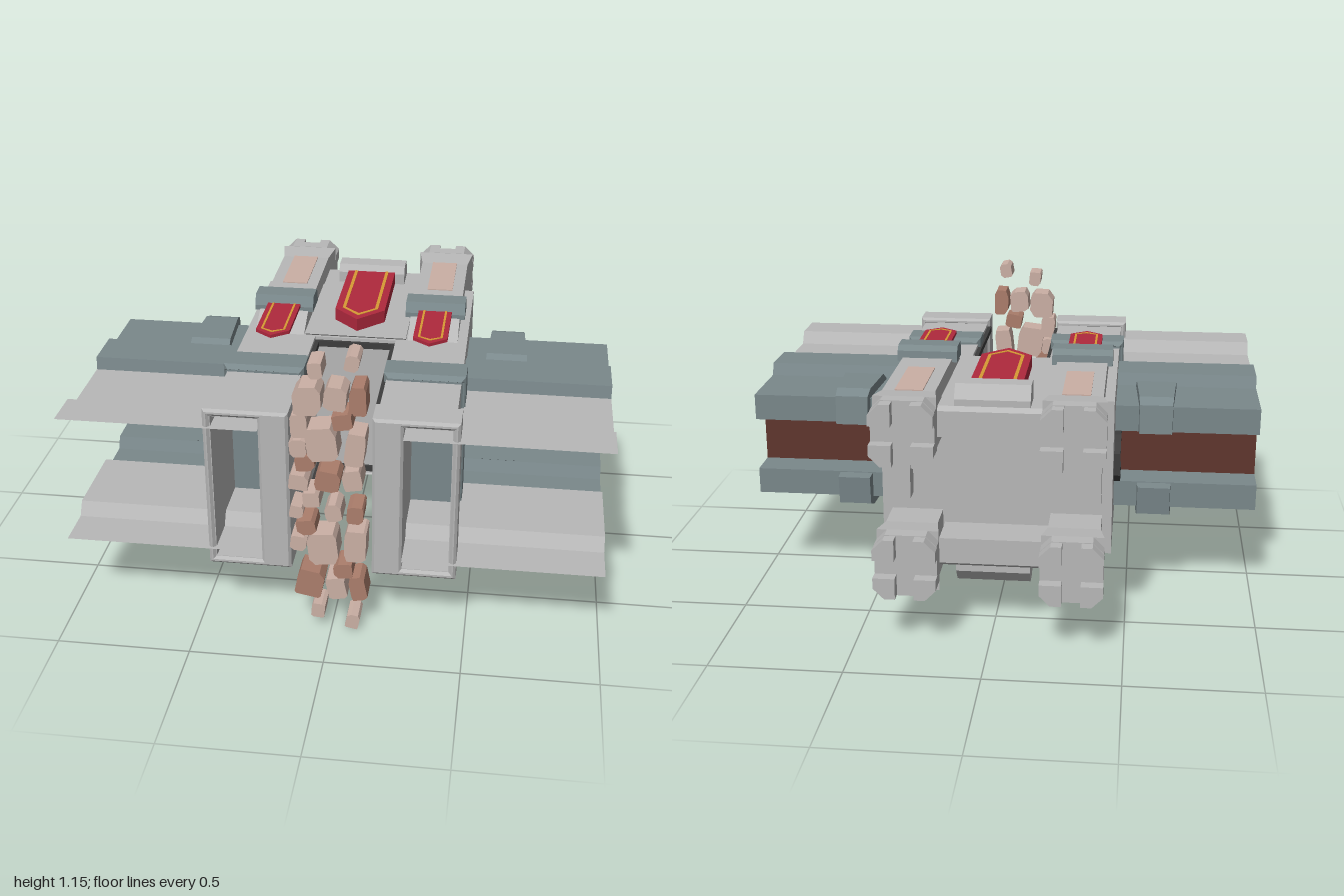
import * as THREE from 'three';

const mat = (name, color) => {
  const m = new THREE.MeshStandardMaterial({ color, side: THREE.DoubleSide });
  m.name = name;
  return m;
};

export function createModel() {
  const stone = mat('light stone', 0xb8b8b8);
  const slate = mat('slate', 0x7a888b);
  const wood = mat('brown wood', 0x60362d);
  const iron = mat('dark iron', 0x3d3d3d);
  const red = mat('banner red', 0xb0293d);
  const gold = mat('banner gold', 0xd89a35);
  const pink = mat('pale brick', 0xcbb0a5);
  const clay = mat('clay brick', 0xac7e6c);

  const add = (parent, name, geo, m) => {
    const mesh = new THREE.Mesh(geo, m);
    mesh.name = name;
    parent.add(mesh);
    return mesh;
  };
  const group = (parent, name) => {
    const g = new THREE.Group();
    g.name = name;
    parent.add(g);
    return g;
  };
  const shape = (pts) => new THREE.Shape(pts.map(([a, b]) => new THREE.Vector2(a, b)));
  const extrude = (s, depth, opts = {}) =>
    new THREE.ExtrudeGeometry(s, { depth, bevelEnabled: false, ...opts });
  const box = (x0, x1, y0, y1, z0, z1) =>
    new THREE.BoxGeometry(x1 - x0, y1 - y0, z1 - z0).translate((x0 + x1) / 2, (y0 + y1) / 2, (z0 + z1) / 2);
  // A (z, y) section pushed along x
  const prismS = (s, x0, x1) => extrude(s, x1 - x0).rotateY(-Math.PI / 2).translate(x1, 0, 0);
  const prism = (pts, x0, x1) => prismS(shape(pts), x0, x1);
  // An open (z, y) line swept along x as a thin sheet
  const sheet = (pts, x0, x1) => {
    const pos = [];
    for (let i = 0; i + 1 < pts.length; i++) {
      const [z0, y0] = pts[i], [z1, y1] = pts[i + 1];
      pos.push(x0, y0, z0, x1, y0, z0, x1, y1, z1, x0, y0, z0, x1, y1, z1, x0, y1, z1);
    }
    const g = new THREE.BufferGeometry();
    g.setAttribute('position', new THREE.Float32BufferAttribute(pos, 3));
    g.computeVertexNormals();
    return g;
  };
  // Hollow bevelled collar round a gate leg
  const collar = (x0, x1, z, y0, y1, b) => {
    const s = shape([[x0, -z], [x1, -z], [x1, z], [x0, z]]);
    s.holes.push(shape([[0.26, -0.297], [0.26, 0.297], [0.435, 0.297], [0.435, -0.297]]));
    return extrude(s, y1 - y0 - 2 * b, {
      bevelEnabled: true, bevelSegments: 1, bevelSize: b, bevelThickness: b, bevelOffset: -b,
    }).rotateX(-Math.PI / 2).translate(0, y0 + b, 0);
  };
  // Pointed banner with an inset gold border
  const banner = (parent, name, cx, half, top, shoulder, tip, z0, z1) => {
    const g = group(parent, name);
    const outline = (i) => [[cx - half + i, top], [cx - half + i, shoulder + i * 0.3], [cx, tip + i * 1.4],
      [cx + half - i, shoulder + i * 0.3], [cx + half - i, top]];
    add(g, 'cloth', extrude(shape(outline(0)), z1 - z0).translate(0, 0, z0), red);
    const a = outline(half * 0.28), b = outline(half * 0.41);
    add(g, 'border', extrude(shape([...a, ...b.reverse()]), 0.002).translate(0, 0, z1), gold);
  };

  const model = new THREE.Group();
  model.name = 'gatehouse';
  // Built upright, then laid on its back
  const gate = group(model, 'gate');
  gate.rotation.x = -Math.PI / 2;
  gate.position.y = 0.575;

  // Middle: passage lintel and roof
  add(gate, 'passageFloor', box(-0.26, 0.26, -0.08, 0.07, -0.3, 0.3), stone);
  add(gate, 'roof', box(-0.435, 0.435, 0.45, 0.46, -0.297, 0.297), stone);

  // One side: wall, tower leg and doorway
  const side = group(gate, 'rightSide');
  add(side, 'legInnerWall', box(0.16, 0.26, -0.77, -0.08, -0.3, 0.3), stone);
  add(side, 'legPlinth', collar(0.15, 0.46, 0.325, -0.78, -0.65, 0.01), stone);
  add(side, 'legBand', collar(0.15, 0.457, 0.33, -0.43, -0.29, 0.017), slate);
  const doorway = [[0.07, 0.07], [0.07, 0.22], [0.055, 0.255], [0.03, 0.275]];
  const flip = (pts) => pts.map(([z, y]) => [-z, y]).reverse();
  const flank = shape([[-0.305, -0.77], [0.305, -0.77], [0.305, 0.46], [-0.305, 0.46]]);
  flank.holes.push(shape([...doorway, ...flip(doorway)]));
  add(side, 'towerFlank', prismS(flank, 0.432, 0.44), stone);
  const rimOut = [[0.097, 0.01], [0.097, 0.225], [0.08, 0.268], [0.045, 0.303]];
  const rimIn = [[0.07, 0.01], ...doorway.slice(1)];
  add(side, 'doorRim', prism([...rimOut, ...flip(rimOut), ...flip(rimIn).reverse(), ...rimIn.slice().reverse()], 0.43, 0.465), iron);
  add(side, 'flankMerlon', box(0.32, 0.4, 0.45, 0.53, -0.08, 0.085), stone);
  add(side, 'walkway', sheet([[0.105, 0.07], [-0.105, 0.07]], 0.26, 1), wood);
  for (const s of [1, -1]) {
    const m = (pts) => pts.map(([z, y]) => [z * s, y]);
    add(side, 'wallFace', sheet(m([[0.255, -0.79], [0.255, -0.632], [0.205, -0.6], [0.205, -0.28]]), 0.26, 1), stone);
    add(side, 'wallParapet', sheet(m([[0.205, -0.28], [0.255, -0.272], [0.255, -0.1], [0.208, -0.08],
      [0.208, 0.2], [0.105, 0.2], [0.105, 0.07]]), 0.43, 1), slate);
    const merlon = prism(m([[0.205, -0.08], [0.245, -0.02], [0.245, 0.19], [0.225, 0.24], [0.112, 0.25],
      [0.108, 0.195], [0.205, 0.18]]), 0.515, 0.68);
    const p = merlon.attributes.position;
    for (let i = 0; i < p.count; i++) // narrows towards the top
      p.setX(i, 0.597 + (p.getX(i) - 0.597) * (1 - 0.7 * (p.getY(i) + 0.08)));
    merlon.computeVertexNormals();
    add(side, 'wallMerlon', merlon, slate);
    add(side, 'gateRail', box(0.143, 0.162, -0.66, -0.08, s * 0.28 - 0.012, s * 0.28 + 0.012), iron);
    add(side, 'gateRailTop', box(0, 0.162, -0.092, -0.075, s * 0.28 - 0.012, s * 0.28 + 0.012), iron);
  }
  const left = side.clone();
  left.name = 'leftSide';
  left.rotation.y = Math.PI;
  gate.add(left);

  // One face: front plate, turrets and banners
  const face = group(gate, 'frontFace');
  add(face, 'facePlate', extrude(shape([[-0.44, -0.77], [-0.16, -0.77], [-0.16, -0.08], [0.16, -0.08], [0.16, -0.77],
    [0.44, -0.77], [0.44, 0.46], [-0.44, 0.46]]), 0.01).translate(0, 0, 0.295), stone);
  add(face, 'centrePanel', prism([[0.2, 0.07], [0.315, -0.08], [0.315, 0.6], [0.3, 0.62], [0.2, 0.62]], -0.2, 0.2), stone);
  add(face, 'bannerMount', prism([[0.3, 0.47], [0.36, 0.47], [0.39, 0.49], [0.39, 0.56], [0.34, 0.6], [0.3, 0.6]], -0.14, 0.14), stone);
  banner(face, 'centreBanner', 0, 0.1, 0.48, 0.07, -0.03, 0.31, 0.366);

  for (const s of [1, -1]) {
    const t = group(face, 'turret');
    const cx = 0.305 * s, cz = 0.258;
    add(t, 'shaft', prism([[0.3, -0.08], [0.355, 0.03], [0.368, 0.06], [0.368, 0.6], [0.148, 0.6],
      [0.148, 0.42], [0.29, 0.42]], cx - 0.098, cx + 0.098), stone);
    const flare = box(-0.098, 0.098, 0.6, 0.7, -0.11, 0.11);
    const p = flare.attributes.position;
    for (let i = 0; i < p.count; i++)
      if (p.getY(i) > 0.65) p.setXYZ(i, p.getX(i) * 1.18, p.getY(i), p.getZ(i) * 1.08);
    flare.computeVertexNormals();
    add(t, 'crownFlare', flare.translate(cx, 0, cz), stone);
    const c = 0.04;
    add(t, 'crownBase', extrude(shape([[-0.116 + c, -0.12], [0.116 - c, -0.12], [0.116, -0.12 + c], [0.116, 0.12 - c],
      [0.116 - c, 0.12], [-0.116 + c, 0.12], [-0.116, 0.12 - c], [-0.116, -0.12 + c]]), 0.055)
      .rotateX(-Math.PI / 2).translate(cx, 0.7, cz), stone);
    for (let k = 0; k < 4; k++) // chamfered corner merlons
      add(t, 'crownMerlon', extrude(shape([[0.035, 0.035], [0.117, 0.035], [0.117, 0.076], [0.076, 0.117], [0.035, 0.117]]), 0.05)
        .rotateX(-Math.PI / 2).rotateY(k * Math.PI / 2).translate(cx, 0.75, cz), stone);
    add(t, 'inlay', box(cx - 0.052, cx + 0.052, 0.3, 0.6, 0.366, 0.372), pink);
    add(t, 'bannerBracket', prism([[0.355, 0.04], [0.375, 0.04], [0.415, 0.06], [0.415, 0.14], [0.395, 0.16], [0.355, 0.165]],
      cx - 0.118, cx + 0.118), slate);
    banner(t, 'sideBanner', cx, 0.066, 0.06, -0.21, -0.26, 0.372, 0.385);
  }
  const back = face.clone();
  back.name = 'backFace';
  back.rotation.y = Math.PI;
  gate.add(back);

  // Paving stones at the gate's foot: x, y, width, height, clay or pale
  const stones = [
    [-0.05, 1.08, 0.05, 0.06, 0], [0.08, 1.115, 0.05, 0.06, 0], [-0.08, 0.96, 0.1, 0.11, 0],
    [0.02, 0.975, 0.08, 0.09, 0], [0.1, 0.97, 0.06, 0.11, 1], [0.045, 0.885, 0.07, 0.06, 1],
    [-0.11, 0.86, 0.06, 0.09, 0], [-0.115, 0.77, 0.06, 0.07, 0], [-0.03, 0.79, 0.11, 0.13, 0],
    [0.09, 0.775, 0.07, 0.13, 0], [-0.09, 0.71, 0.07, 0.06, 1], [-0.115, 0.63, 0.07, 0.06, 0],
    [-0.01, 0.64, 0.09, 0.08, 1], [0.08, 0.65, 0.07, 0.08, 0], [-0.07, 0.56, 0.06, 0.06, 0],
    [-0.125, 0.505, 0.05, 0.05, 0], [0.01, 0.51, 0.06, 0.07, 0], [0.09, 0.505, 0.06, 0.07, 1],
    [-0.09, 0.44, 0.07, 0.06, 1], [-0.12, 0.37, 0.06, 0.06, 0], [-0.03, 0.35, 0.11, 0.13, 0],
    [0.09, 0.37, 0.08, 0.13, 0], [0.045, 0.26, 0.07, 0.06, 1], [-0.08, 0.195, 0.1, 0.11, 1],
    [0.02, 0.18, 0.07, 0.09, 0], [0.1, 0.185, 0.06, 0.1, 1], [-0.05, 0.075, 0.05, 0.06, 0], [0.08, 0.035, 0.05, 0.06, 0],
  ];
  let seed = 7;
  const rnd = () => (seed = (seed * 16807) % 2147483647) / 2147483647;
  const path = group(model, 'pavingStones');
  for (const [x, y, w, h, tone] of stones) {
    const pts = [];
    for (const [a, b] of [[1, 1], [-1, 1], [-1, -1], [1, -1]]) { // each corner cut unevenly
      const cut = 0.1 + rnd() * 0.5, cut2 = 0.1 + rnd() * 0.5;
      const p = [a * w / 2, b * h / 2 * (1 - cut)], q = [a * w / 2 * (1 - cut2), b * h / 2];
      pts.push(...(a * b > 0 ? [p, q] : [q, p]));
    }
    const tilt = (rnd() - 0.5) * 0.4;
    add(path, 'pavingStone', extrude(shape(pts), 0.1).rotateZ(tilt).translate(x, y, 0.69), tone ? clay : pink);
  }
  return model;
}
